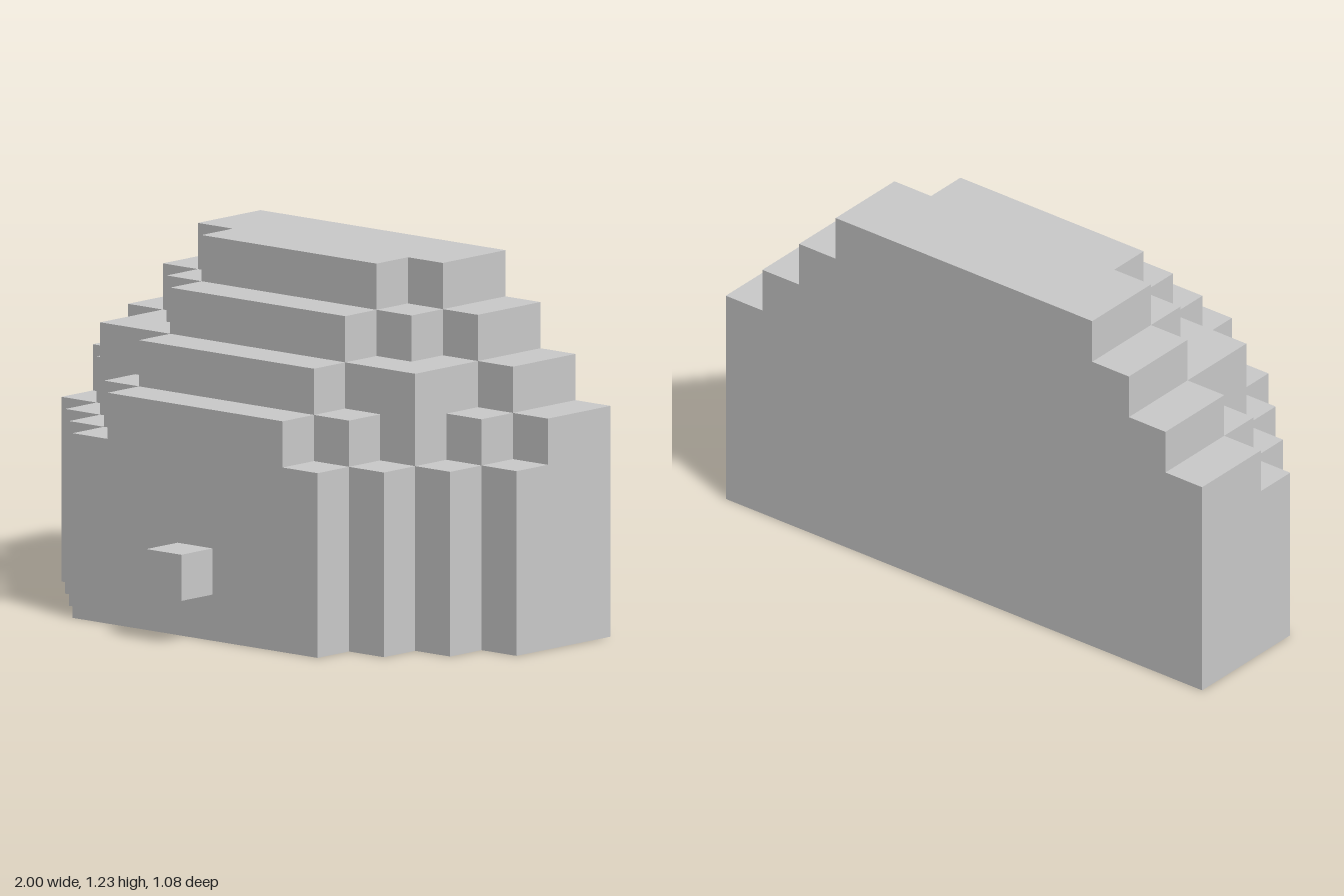
import * as THREE from 'three';

const U = 2 / 13; // size of one block
const material = new THREE.MeshStandardMaterial({ color: 0xcccccc, flatShading: true });

// Heights of the notched shoulder blocks, by steps outward in x and forward in z
const SHOULDER = [[7, 6, 5, 4], [6, 6, 4], [5, 4], [4]];

// Column height in blocks; i counts from the middle (-6..6), k from the back (0..5)
function heightAt(i, k) {
  const a = Math.abs(i) - 3, b = k - 2;
  if (a > 3 || b > 3 || k < 0) return 0;
  if (a < 0) return 8 - Math.max(0, b); // stepped front slope
  if (b < 0) return 8 - a; // stepped side slopes
  return SHOULDER[a][b] ?? 0;
}

// Outer skin of the block columns, without hidden inner faces
function createSkin() {
  const points = [];
  const quad = (a, b, c, d) => points.push(...[a, b, c, a, c, d].flat().map((v) => v * U));
  for (let i = -6; i <= 6; i++) {
    for (let k = 0; k <= 5; k++) {
      const h = heightAt(i, k), z = k - 3;
      if (!h) continue;
      const [l, r, n, f] = [i - 0.5, i + 0.5, z + 0.5, z - 0.5];
      quad([l, h, n], [r, h, n], [r, h, f], [l, h, f]); // top
      quad([l, 0, f], [r, 0, f], [r, 0, n], [l, 0, n]); // underside
      for (const [dx, dz] of [[1, 0], [-1, 0], [0, 1], [0, -1]]) {
        const low = heightAt(i + dx, k + dz);
        if (low >= h) continue;
        // wall down to the neighbouring column
        const x0 = i + (dx - dz) / 2, x1 = i + (dx + dz) / 2;
        const z0 = z + (dz + dx) / 2, z1 = z + (dz - dx) / 2;
        quad([x0, low, z0], [x1, low, z1], [x1, h, z1], [x0, h, z0]);
      }
    }
  }
  const geometry = new THREE.BufferGeometry();
  geometry.setAttribute('position', new THREE.Float32BufferAttribute(points, 3));
  geometry.computeVertexNormals();
  return geometry;
}

export function createModel() {
  const group = new THREE.Group();
  group.name = 'blockDome';

  // Stepped half dome with a flat back
  const body = new THREE.Mesh(createSkin(), material);
  body.name = 'body';
  group.add(body);

  // Small block on the front
  const knob = new THREE.Mesh(new THREE.BoxGeometry(U, U, U), material);
  knob.name = 'knob';
  knob.position.set(0, 1.5 * U, 3 * U);
  group.add(knob);

  return group;
}
